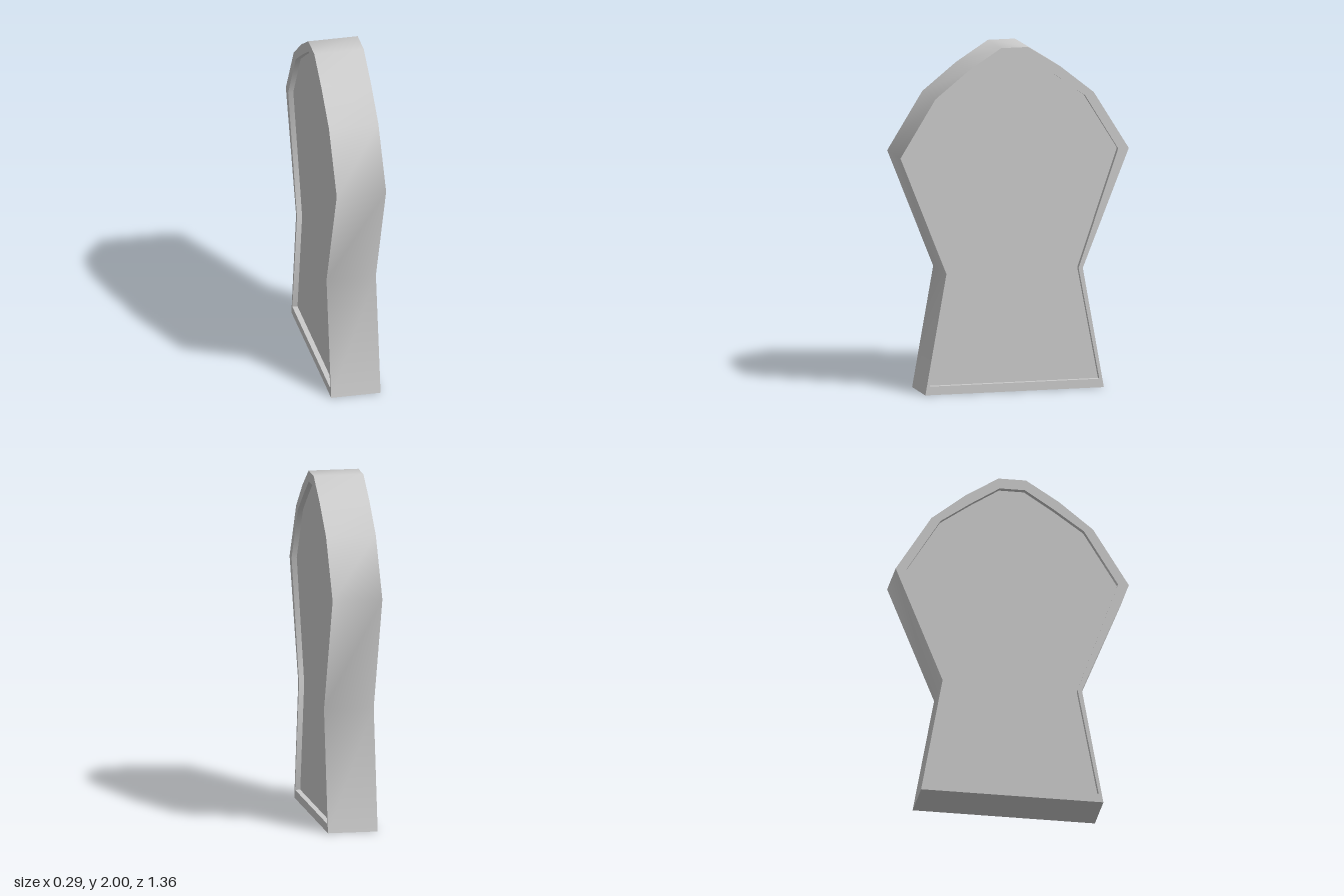
import * as THREE from 'three';
import { toCreasedNormals } from 'three/addons/utils/BufferGeometryUtils.js';

const THICKNESS = 0.29;
const RECESS = 0.03;

// Half profiles from the base to the crown: [half width, height]
const OUTER = [[0.53, 0], [0.405, 0.7], [0.678, 1.385], [0.47, 1.72], [0.27, 1.88], [0.08, 2]];
const INNER = [[0.503, 0.05], [0.38, 0.7], [0.615, 1.385], [0.417, 1.705], [0.24, 1.83], [0.073, 1.938]];

// Mirror a half profile into a closed outline
function outline(half) {
  const right = half.map(([w, y]) => new THREE.Vector2(w, y));
  const left = half.map(([w, y]) => new THREE.Vector2(-w, y)).reverse();
  return [...right, ...left];
}

// Extrude a shape evenly about x = 0
function slab(shape, depth) {
  const geo = new THREE.ExtrudeGeometry(shape, { depth, bevelEnabled: false });
  geo.translate(0, 0, -depth / 2);
  geo.rotateY(Math.PI / 2);
  return geo;
}

export function createModel() {
  const group = new THREE.Group();
  group.name = 'slab';
  const material = new THREE.MeshStandardMaterial({ color: 0xcccccc });

  // Raised rim around the whole silhouette
  const rimShape = new THREE.Shape(outline(OUTER));
  rimShape.holes.push(new THREE.Path(outline(INNER)));
  const rim = new THREE.Mesh(toCreasedNormals(slab(rimShape, THICKNESS), Math.PI / 3), material);
  rim.name = 'rim';

  // Panel sunk slightly below the rim on both faces
  const panel = new THREE.Mesh(slab(new THREE.Shape(outline(INNER)), THICKNESS - 2 * RECESS), material);
  panel.name = 'recessedPanel';

  group.add(rim, panel);
  return group;
}
